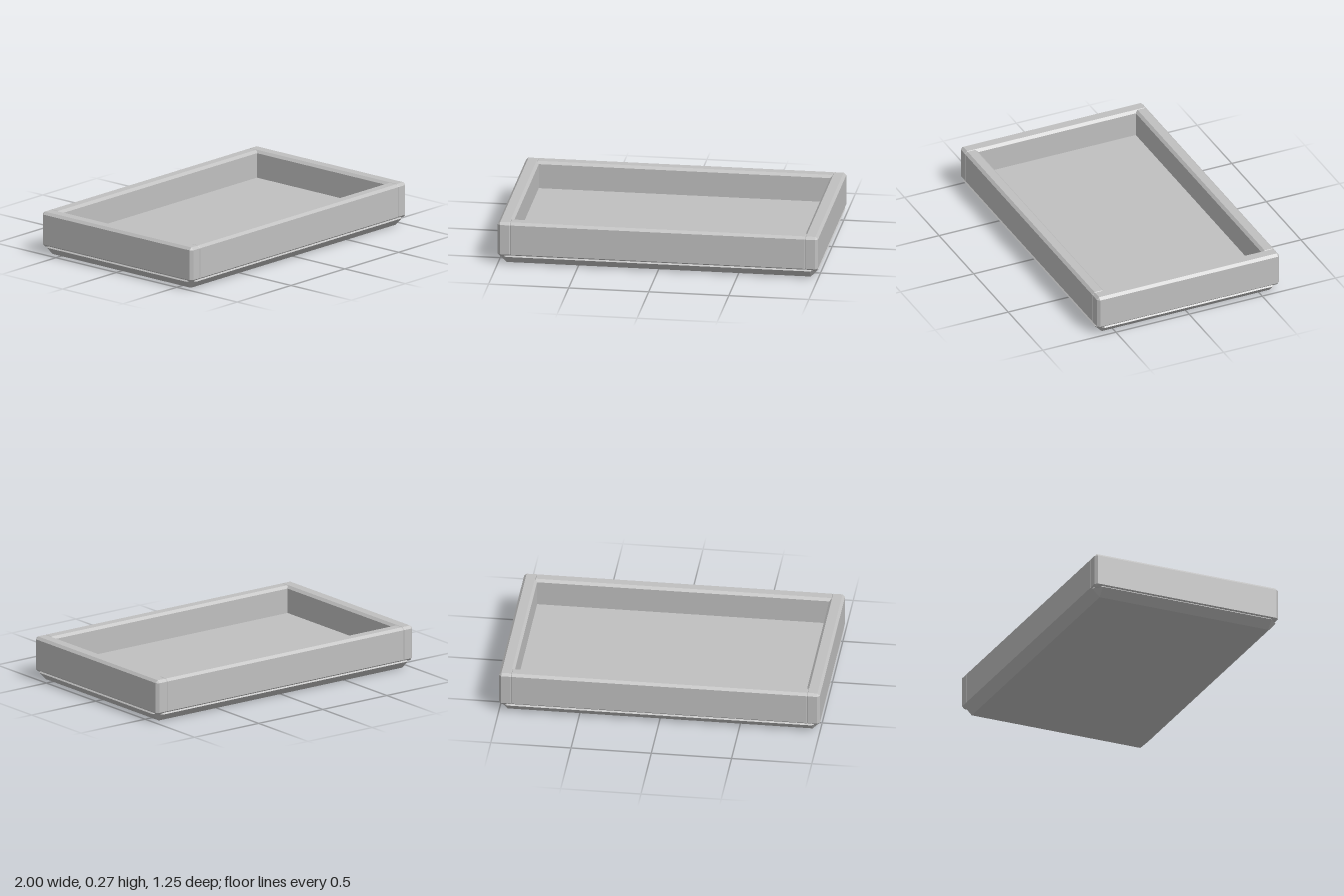
import * as THREE from 'three';
import { ConvexGeometry } from 'three/addons/geometries/ConvexGeometry.js';

// Box with every edge chamfered: three points at each of the eight corners
function chamferBox(w, h, d, c) {
  const points = new Map();
  for (const sx of [-1, 1]) for (const sy of [-1, 1]) for (const sz of [-1, 1]) {
    for (const axis of [0, 1, 2]) {
      const p = [w, h, d].map((size, i) => size / 2 - (i === axis ? 0 : c));
      const v = new THREE.Vector3(sx * p[0], sy * p[1], sz * p[2]);
      points.set(v.toArray().map((n) => (Math.round(n * 1e4) + 0)).join(), v);
    }
  }
  return new ConvexGeometry([...points.values()]);
}

export function createModel() {
  const model = new THREE.Group();
  model.name = 'tray';
  const grey = new THREE.MeshStandardMaterial({ color: 0xc0c0c0 });
  grey.name = 'plain grey';

  const add = (name, geometry, x, y, z) => {
    const mesh = new THREE.Mesh(geometry, grey);
    mesh.name = name;
    mesh.position.set(x, y, z);
    model.add(mesh);
  };

  const halfDepth = 0.623, bottom = 0.05, top = 0.273, chamfer = 0.016;
  const height = top - bottom, midY = (top + bottom) / 2;

  // Base slab, its chamfers meeting at half its thickness
  add('base', chamferBox(2, 0.1, halfDepth * 2, 0.05), 0, 0.05, 0);

  // Side walls run the full depth
  const side = chamferBox(0.09, height, halfDepth * 2, chamfer);
  add('leftWall', side, 0.955, midY, 0);
  add('rightWall', side, -0.955, midY, 0);

  // Front and back walls sit between them, leaving a fine V-groove at each joint
  const end = chamferBox(1.87, height, 0.085, chamfer);
  add('frontWall', end, 0, midY, halfDepth - 0.0425);
  add('backWall', end, 0, midY, -halfDepth + 0.0425);

  return model;
}
